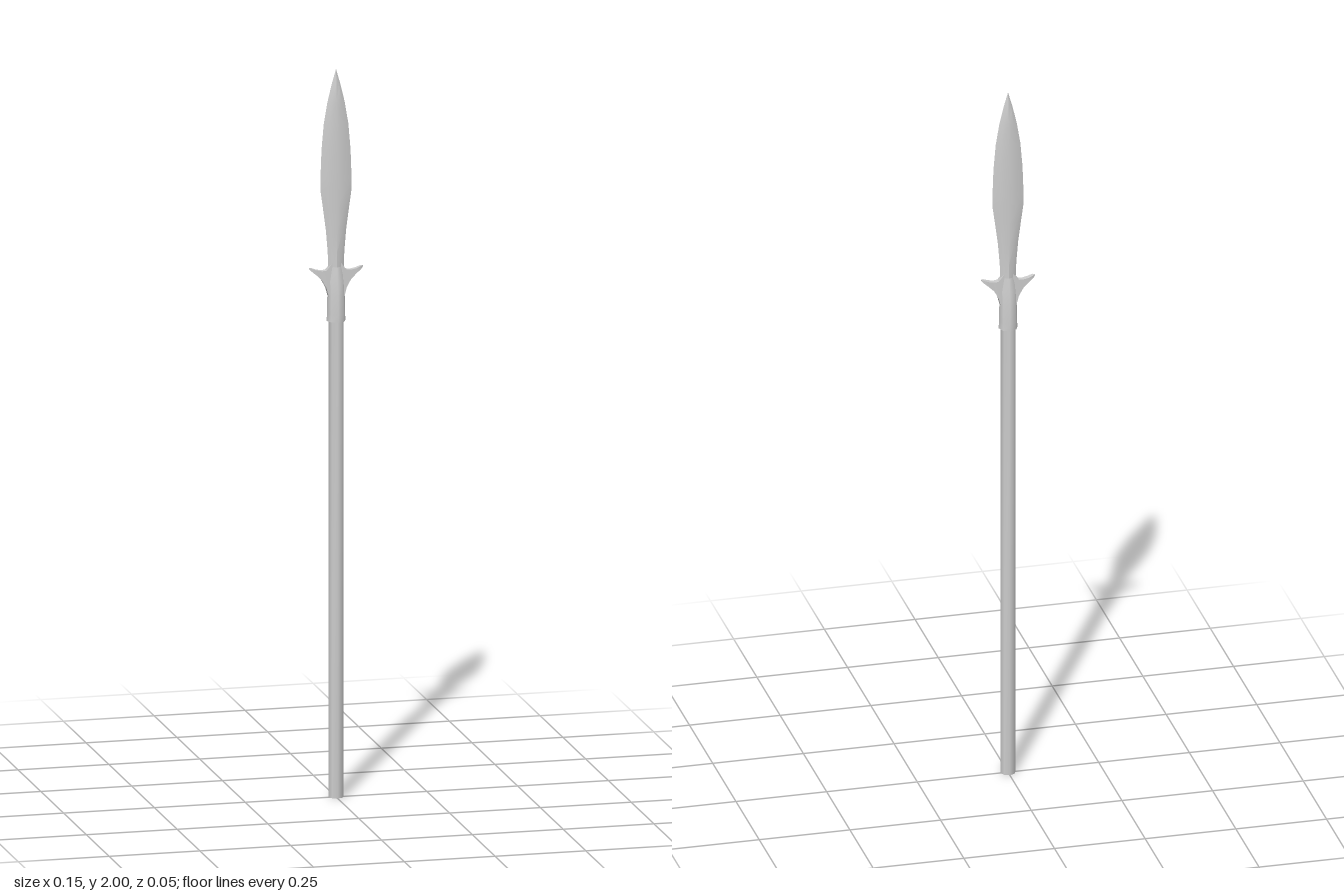
import * as THREE from 'three';
import { toCreasedNormals } from 'three/addons/utils/BufferGeometryUtils.js';

const material = new THREE.MeshStandardMaterial({ color: 0xcccccc });

// Skin a list of rings (equal point counts) and close both ends.
function loft(rings, crease) {
  const n = rings[0].length, last = rings.length - 1;
  const pos = rings.flat(2), index = [];
  for (let i = 0; i < last; i++) {
    for (let j = 0; j < n; j++) {
      const a = i * n + j, b = i * n + (j + 1) % n;
      index.push(a, a + n, b, b, a + n, b + n);
    }
  }
  for (let j = 1; j < n - 1; j++) {
    index.push(0, j, j + 1, last * n, last * n + j + 1, last * n + j);
  }
  const geometry = new THREE.BufferGeometry();
  geometry.setAttribute('position', new THREE.Float32BufferAttribute(pos, 3));
  geometry.setIndex(index);
  return toCreasedNormals(geometry, crease);
}

// Eight-point section: round = 0.71 gives an octagon, lower x/z factors a lens.
function section([y, w, d, fx = 0.6, fz = 0.62]) {
  const x = w * fx, z = d * fz;
  return [[w, 0], [x, z], [0, d], [-x, z], [-w, 0], [-x, -z], [0, -d], [x, -z]]
    .map(([px, pz]) => [px, y, pz]);
}

function add(group, name, geometry) {
  const mesh = new THREE.Mesh(geometry, material);
  mesh.name = name;
  group.add(mesh);
  return mesh;
}

export function createModel() {
  const group = new THREE.Group();
  group.name = 'spear';

  // Wooden pole
  const shaft = new THREE.CylinderGeometry(0.02, 0.02, 1.36, 8);
  shaft.translate(0, 0.68, 0);
  add(group, 'shaft', toCreasedNormals(shaft, 0.9));

  // Octagonal socket narrowing into the neck of the blade
  add(group, 'socket', loft([
    [1.31, 0.026, 0.027, 0.71, 0.71],
    [1.33, 0.025, 0.026, 0.71, 0.71],
    [1.38, 0.024, 0.024, 0.71, 0.71],
    [1.42, 0.023, 0.018, 0.68, 0.68],
    [1.465, 0.02, 0.011],
  ].map(section), 0.9));

  // Leaf-shaped blade with a lens section
  add(group, 'blade', loft([
    [1.45, 0.021, 0.012],
    [1.5, 0.023, 0.012],
    [1.56, 0.028, 0.012],
    [1.62, 0.036, 0.012],
    [1.67, 0.043, 0.012],
    [1.7, 0.043, 0.012],
    [1.78, 0.04, 0.012],
    [1.85, 0.034, 0.011],
    [1.91, 0.024, 0.009],
    [1.96, 0.012, 0.006],
    [2.0, 0.0005, 0.0005],
  ].map(section), 0.6));

  // Pair of upswept lugs: x, top y, bottom y, half thickness
  const lug = loft([
    [0.008, 1.475, 1.36, 0.008],
    [0.021, 1.458, 1.375, 0.008],
    [0.028, 1.45, 1.402, 0.008],
    [0.04, 1.449, 1.423, 0.007],
    [0.055, 1.452, 1.438, 0.007],
    [0.068, 1.457, 1.449, 0.006],
    [0.074, 1.458, 1.455, 0.001],
  ].map(([x, top, bottom, d]) => [[x, top, d], [x, top, -d], [x, bottom, -d], [x, bottom, d]]), 0.7);
  add(group, 'leftLug', lug);
  add(group, 'rightLug', lug).rotation.y = Math.PI;

  return group;
}
